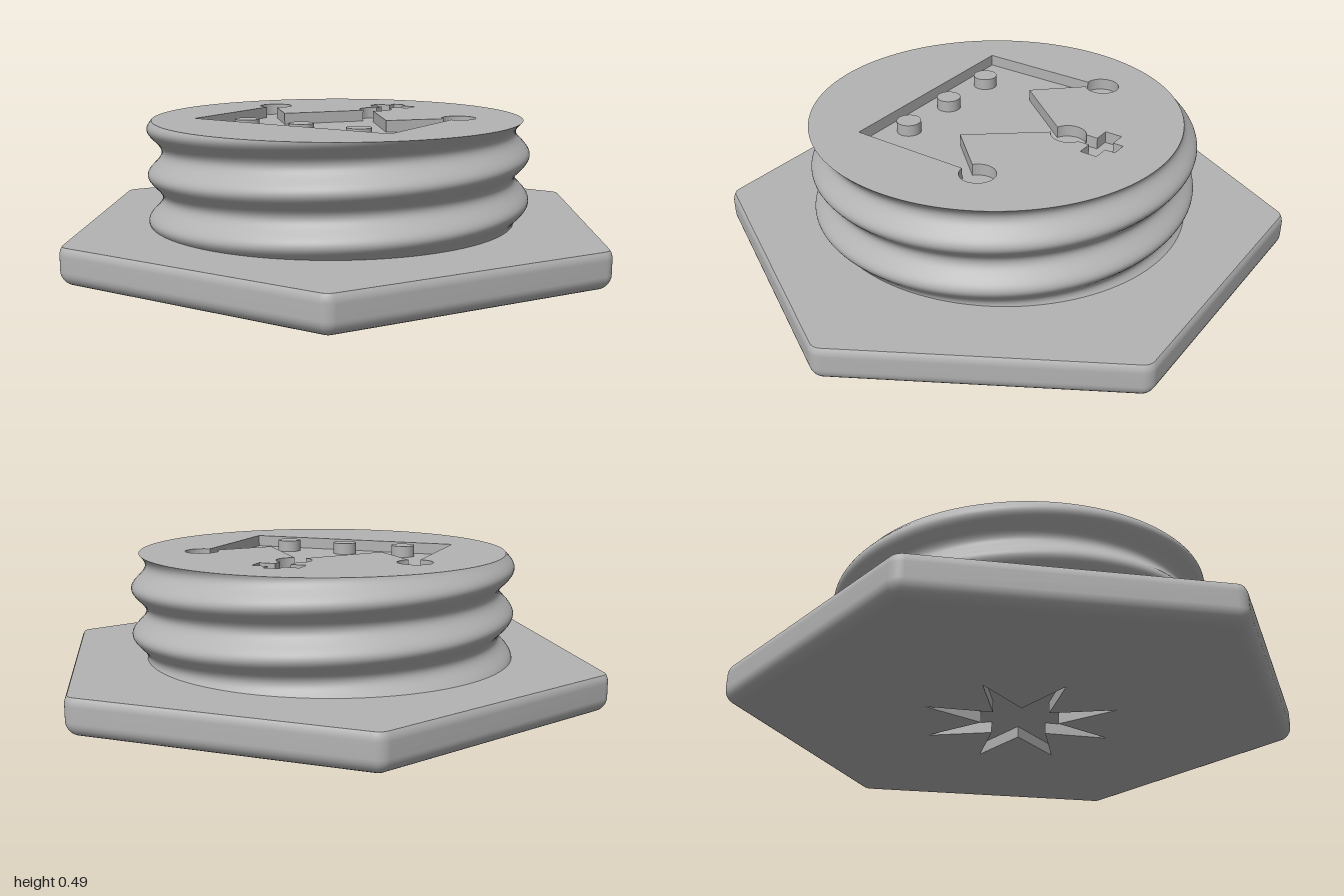
import * as THREE from 'three';

const TAU = Math.PI * 2;
const PLATE_TOP = 0.128, TOP = 0.49, DEPTH = 0.04;

const grey = new THREE.MeshStandardMaterial({ color: 0xb3b3b3 });
grey.name = 'plain grey';

const v2 = (x, y) => new THREE.Vector2(x, y);

// Points of an arc in plan, angles in degrees
function arc(cx, cy, r, from, to, steps) {
  return Array.from({ length: steps + 1 }, (_, i) => {
    const a = THREE.MathUtils.degToRad(from + (to - from) * i / steps);
    return v2(cx + r * Math.cos(a), cy + r * Math.sin(a));
  });
}

// Skin through closed plan outlines [{ y, pts }]; rising faces outward, falling faces inward
function loft(rings, flat = false) {
  const n = rings[0].pts.length, pos = [], index = [];
  for (const { y, pts } of rings) for (const p of pts) pos.push(p.x, y, -p.y);
  for (let i = 0; i < rings.length - 1; i++) {
    for (let j = 0; j < n; j++) {
      const a = i * n + j, b = i * n + (j + 1) % n;
      index.push(a, b, b + n, a, b + n, a + n);
    }
  }
  let geo = new THREE.BufferGeometry();
  geo.setAttribute('position', new THREE.Float32BufferAttribute(pos, 3));
  geo.setIndex(index);
  if (flat) geo = geo.toNonIndexed();
  geo.computeVertexNormals();
  return geo;
}

// Horizontal face with an optional hole, facing up or down
function cap(pts, y, hole = null, down = false) {
  const shape = new THREE.Shape(pts);
  if (hole) shape.holes.push(new THREE.Path(hole));
  const geo = new THREE.ShapeGeometry(shape);
  geo.rotateX(down ? Math.PI / 2 : -Math.PI / 2);
  return geo.translate(0, y, 0);
}

// Hexagon with rounded corners, grown by r around a fixed core
function hexagon(r) {
  const pts = [];
  for (let k = 0; k < 6; k++) {
    const a = k * TAU / 6;
    pts.push(...arc(0.95 * Math.cos(a), 0.95 * Math.sin(a), r, k * 60 - 30, k * 60 + 30, 6));
  }
  return pts;
}

// Off-centre circle that turns with height, giving a single screw thread
function threadSection(y) {
  const a = (y - 0.36) / 0.16 * TAU;
  return arc(0.025 * Math.cos(a), 0.025 * Math.sin(a), 0.645, 0, 360, 120).slice(0, -1);
}

// Crown outline: right half, then its mirror
function crownOutline() {
  const half = [
    v2(0.388, -0.32),
    ...arc(0.388, 0.17, 0.06, -90, 232, 28),
    v2(0.21, -0.03),
    ...arc(0, 0.265, 0.06, -70, 63, 14),
    v2(0.027, 0.36), v2(0.083, 0.36), v2(0.083, 0.42), v2(0.027, 0.42), v2(0.027, 0.457),
  ];
  return [...half, ...half.map(p => v2(-p.x, p.y)).reverse()];
}

// Eight-pointed star outline
function starOutline() {
  return Array.from({ length: 16 }, (_, i) => {
    const r = i % 2 ? 0.135 : 0.35, a = i * TAU / 16;
    return v2(r * Math.cos(a), r * Math.sin(a));
  });
}

export function createModel() {
  const model = new THREE.Group();
  model.name = 'gamePiece';
  const add = (name, geo, parent = model) => {
    const mesh = new THREE.Mesh(geo, grey);
    mesh.name = name;
    parent.add(mesh);
    return mesh;
  };
  const group = name => {
    const g = new THREE.Group();
    g.name = name;
    model.add(g);
    return g;
  };

  // Hexagonal plate: rounded lower edge, upper edge rounded then cut flat
  const plate = group('hexPlate');
  const R = 0.05, rings = [];
  for (let i = 0; i <= 8; i++) {
    const a = (i / 8 - 1) * Math.PI / 2;
    rings.push({ y: R + R * Math.sin(a), pts: hexagon(Math.max(R * Math.cos(a), 0.0005)) });
  }
  const endAngle = Math.asin((PLATE_TOP - 0.1) / R);
  for (let i = 0; i <= 4; i++) {
    const a = endAngle * i / 4;
    rings.push({ y: 0.1 + R * Math.sin(a), pts: hexagon(R * Math.cos(a)) });
  }
  const star = starOutline();
  add('plateRim', loft(rings), plate);
  add('plateTop', cap(rings[rings.length - 1].pts, PLATE_TOP), plate);
  add('plateBottom', cap(rings[0].pts, 0, star, true), plate);

  // Star recess underneath
  const starRecess = group('starRecess');
  add('starWalls', loft([{ y: DEPTH, pts: star }, { y: 0, pts: star }], true), starRecess);
  add('starFloor', cap(star, DEPTH, null, true), starRecess);

  // Threaded drum
  const drum = group('threadedDrum');
  const levels = 56, thread = [];
  for (let i = 0; i <= levels; i++) {
    const y = PLATE_TOP + (TOP - PLATE_TOP) * i / levels;
    thread.push({ y, pts: threadSection(y) });
  }
  const crown = crownOutline();
  add('thread', loft(thread), drum);
  add('drumTop', cap(threadSection(TOP), TOP, crown), drum);

  // Crown recess with three studs left standing
  const crownRecess = group('crownRecess');
  add('crownWalls', loft([{ y: TOP, pts: crown }, { y: TOP - DEPTH, pts: crown }], true), crownRecess);
  add('crownFloor', cap(crown, TOP - DEPTH), crownRecess);
  for (const x of [-0.225, 0, 0.225]) {
    add('crownStud', new THREE.CylinderGeometry(0.042, 0.042, DEPTH, 32), crownRecess)
      .position.set(x, TOP - DEPTH / 2, 0.237);
  }
  return model;
}
